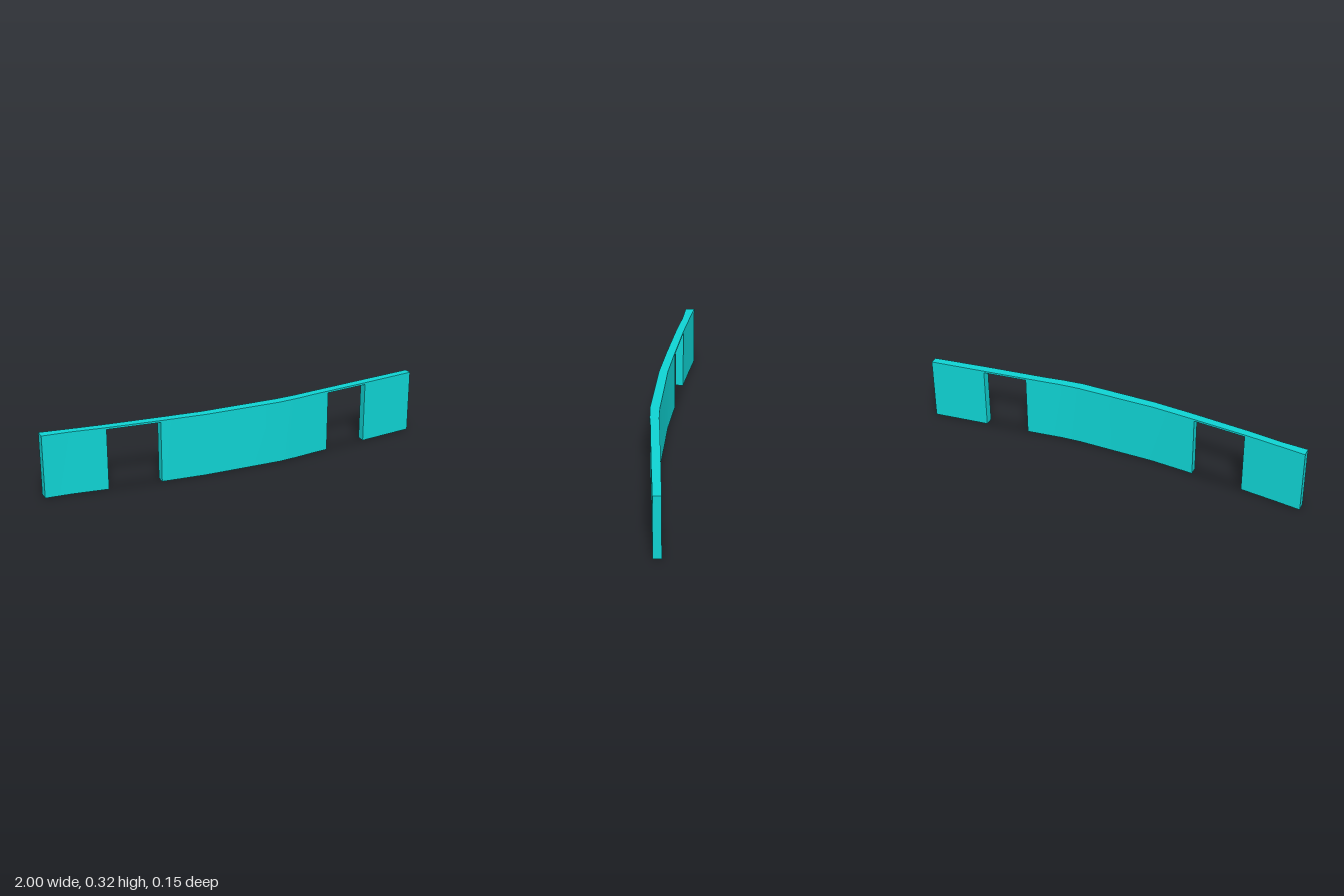
import * as THREE from 'three';
import { toCreasedNormals } from 'three/addons/utils/BufferGeometryUtils.js';

const HEIGHT = 0.325, HEAD = 0.315;
const OPENINGS = [[-0.69, -0.425], [0.485, 0.712]];

// Plan outline of the bowed wall: [x, back z, front z]
const PLAN = [
  [-1, -0.077, -0.03], [-0.87, -0.058, -0.019], [-0.7, -0.035, 0.006],
  [-0.4, -0.003, 0.041], [-0.2, 0.016, 0.061], [0, 0.021, 0.068],
  [0.2, 0.027, 0.075], [0.3, 0.023, 0.068], [0.4, 0.013, 0.056],
  [0.7, -0.014, 0.03], [1, -0.04, 0],
];

// Back and front depth of the wall at x
function sectionAt(x) {
  let i = 0;
  while (i < PLAN.length - 2 && x > PLAN[i + 1][0]) i++;
  const a = PLAN[i], b = PLAN[i + 1], t = (x - a[0]) / (b[0] - a[0]);
  return { x, back: a[1] + (b[1] - a[1]) * t, front: a[2] + (b[2] - a[2]) * t };
}

function meshFromQuads(name, quads, material) {
  const positions = [];
  for (const [a, b, c, d] of quads) positions.push(...a, ...b, ...c, ...a, ...c, ...d);
  const geometry = new THREE.BufferGeometry();
  geometry.setAttribute('position', new THREE.Float32BufferAttribute(positions, 3));
  const mesh = new THREE.Mesh(toCreasedNormals(geometry, 0.5), material);
  mesh.name = name;
  return mesh;
}

export function createModel() {
  const group = new THREE.Group();
  group.name = 'curvedWall';
  const material = new THREE.MeshStandardMaterial({ color: 0x0fd2d2 });

  const xs = [...new Set([...PLAN.map((p) => p[0]), ...OPENINGS.flat()])].sort((a, b) => a - b);
  const sections = xs.map(sectionAt);
  const F = (s, y) => [s.x, y, s.front];
  const B = (s, y) => [s.x, y, s.back];
  const wall = [], jambs = [], heads = [], base = [];

  // Wall skins, column by column; columns over an opening start at its head
  for (let i = 0; i < sections.length - 1; i++) {
    const a = sections[i], b = sections[i + 1], mid = (a.x + b.x) / 2;
    const open = OPENINGS.some(([l, r]) => mid > l && mid < r);
    const low = open ? HEAD : 0;
    wall.push([F(a, low), F(b, low), F(b, HEIGHT), F(a, HEIGHT)]);
    wall.push([B(b, low), B(a, low), B(a, HEIGHT), B(b, HEIGHT)]);
    wall.push([F(a, HEIGHT), F(b, HEIGHT), B(b, HEIGHT), B(a, HEIGHT)]);
    base.push([B(a, 0), B(b, 0), F(b, 0), F(a, 0)]);
    if (open) heads.push([B(a, HEAD), B(b, HEAD), F(b, HEAD), F(a, HEAD)]);
  }

  // Upright faces across the thickness
  const facingRight = (s, top) => [F(s, 0), B(s, 0), B(s, top), F(s, top)];
  const facingLeft = (s, top) => [B(s, 0), F(s, 0), F(s, top), B(s, top)];
  wall.push(facingLeft(sections[0], HEIGHT), facingRight(sections.at(-1), HEIGHT));
  for (const [l, r] of OPENINGS) {
    jambs.push(facingRight(sectionAt(l), HEAD), facingLeft(sectionAt(r), HEAD));
  }

  group.add(
    meshFromQuads('wall', wall, material),
    meshFromQuads('openingJambs', jambs, material),
    meshFromQuads('openingHeads', heads, material),
    meshFromQuads('wallBase', base, material),
  );
  return group;
}
